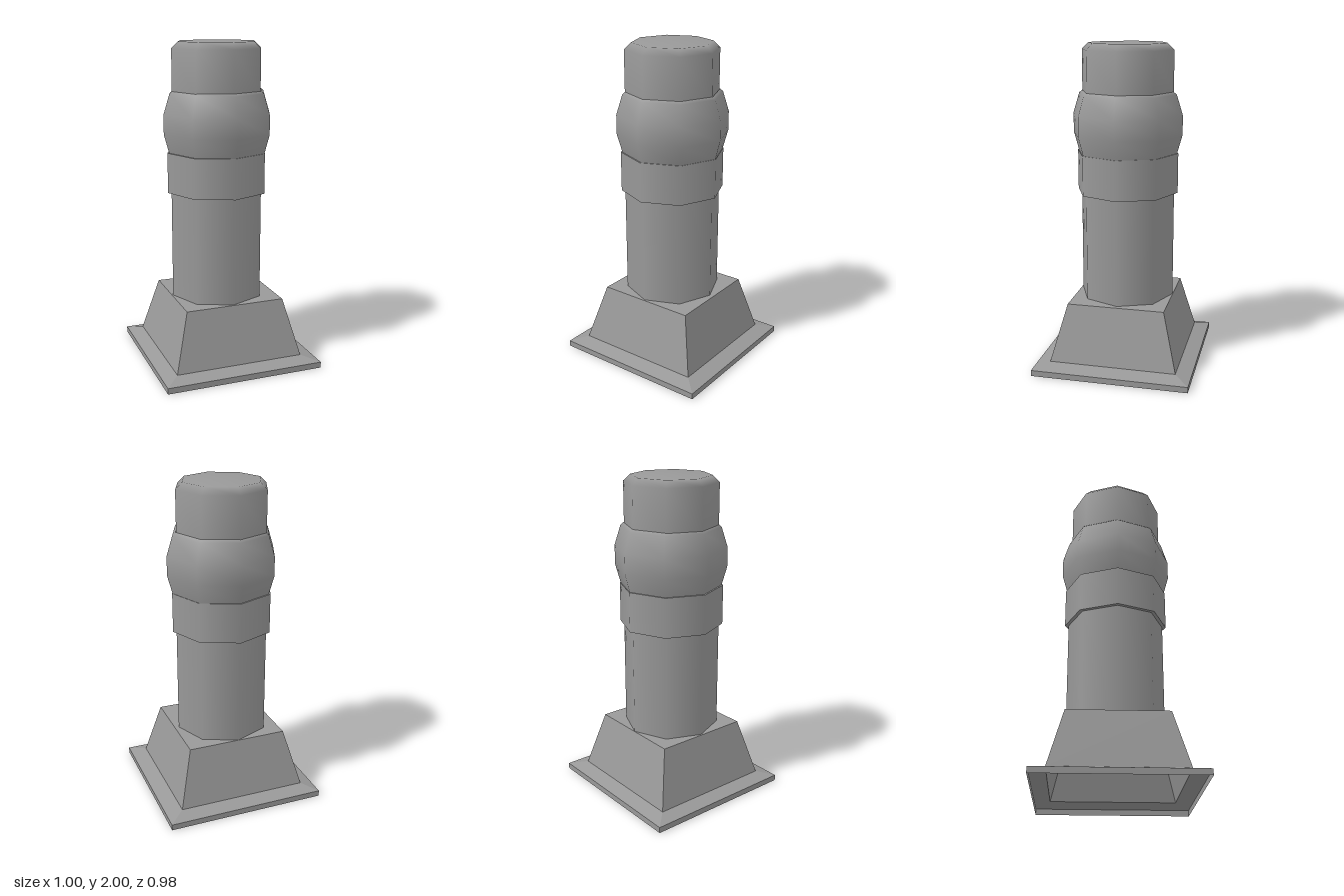
import * as THREE from 'three';

const CX = -0.012, CZ = -0.005;
const material = new THREE.MeshStandardMaterial({ color: 0x999999, side: THREE.DoubleSide });
const flatMaterial = new THREE.MeshStandardMaterial({ color: 0x999999, side: THREE.DoubleSide, flatShading: true });

// Eight-sided turned section; profile is [radius, y] from bottom to top
function turned(name, profile, mat = material) {
  const points = profile.map(([r, y]) => new THREE.Vector2(r, y));
  const geometry = new THREE.LatheGeometry(points, 8);
  geometry.normalizeNormals();
  const mesh = new THREE.Mesh(geometry, mat);
  mesh.name = name;
  mesh.position.set(CX, 0, CZ);
  return mesh;
}

// Four flat walls between two rectangles [xMin, xMax, zMin, zMax, y]
function walls(name, low, high) {
  const corners = ([x0, x1, z0, z1, y]) => [[x0, y, z1], [x1, y, z1], [x1, y, z0], [x0, y, z0]];
  const a = corners(low), b = corners(high), pos = [];
  for (let i = 0; i < 4; i++) {
    const j = (i + 1) % 4;
    pos.push(...a[i], ...a[j], ...b[j], ...a[i], ...b[j], ...b[i]);
  }
  const geometry = new THREE.BufferGeometry();
  geometry.setAttribute('position', new THREE.Float32BufferAttribute(pos, 3));
  geometry.computeVertexNormals();
  const mesh = new THREE.Mesh(geometry, flatMaterial);
  mesh.name = name;
  return mesh;
}

export function createModel() {
  const group = new THREE.Group();
  group.name = 'chimneyPot';

  // Square base, hollow underneath
  const foot = [-0.5, 0.5, -0.488, 0.487, 0];
  const rim = [-0.5, 0.5, -0.488, 0.487, 0.037];
  const flange = [-0.412, 0.402, -0.396, 0.393, 0.063];
  const top = [-0.317, 0.312, -0.304, 0.301, 0.418];
  group.add(walls('baseRim', foot, rim), walls('baseFlange', rim, flange), walls('plinthWalls', flange, top));

  // Plinth top with an octagonal opening for the shaft
  const [x0, x1, z0, z1, y] = top;
  const shape = new THREE.Shape([[x0, -z1], [x1, -z1], [x1, -z0], [x0, -z0]].map(p => new THREE.Vector2(...p)));
  const hole = [];
  for (let i = 0; i < 8; i++) {
    const a = -i * Math.PI / 4;
    hole.push(new THREE.Vector2(CX + 0.294 * Math.cos(a), -CZ + 0.294 * Math.sin(a)));
  }
  shape.holes.push(new THREE.Path(hole));
  const plinthTop = new THREE.Mesh(new THREE.ShapeGeometry(shape).rotateX(-Math.PI / 2), flatMaterial);
  plinthTop.name = 'plinthTop';
  plinthTop.position.y = y;
  group.add(plinthTop);

  // Bulge sits a touch off the shaft's axis
  const bulge = turned('bulge', [[0.313, 1.335], [0.345, 1.45], [0.345, 1.57], [0.306, 1.695], [0.287, 1.71]]);
  bulge.position.x = -0.008;

  // Shaft, collar and the neck with its softly bevelled cap
  group.add(
    turned('shaftFloor', [[0, 0.435], [0.297, 0.435]], flatMaterial),
    turned('shaft', [[0.297, 0.415], [0.297, 1.087]]),
    turned('collarUnderside', [[0.32, 1.087], [0.297, 1.087]], flatMaterial),
    turned('collar', [[0.32, 1.087], [0.32, 1.335]]),
    turned('collarTop', [[0.32, 1.335], [0.3, 1.335]], flatMaterial),
    bulge,
    turned('neckAndCap', [[0.287, 1.7], [0.287, 1.96], [0.245, 2], [0, 2]])
  );
  return group;
}
